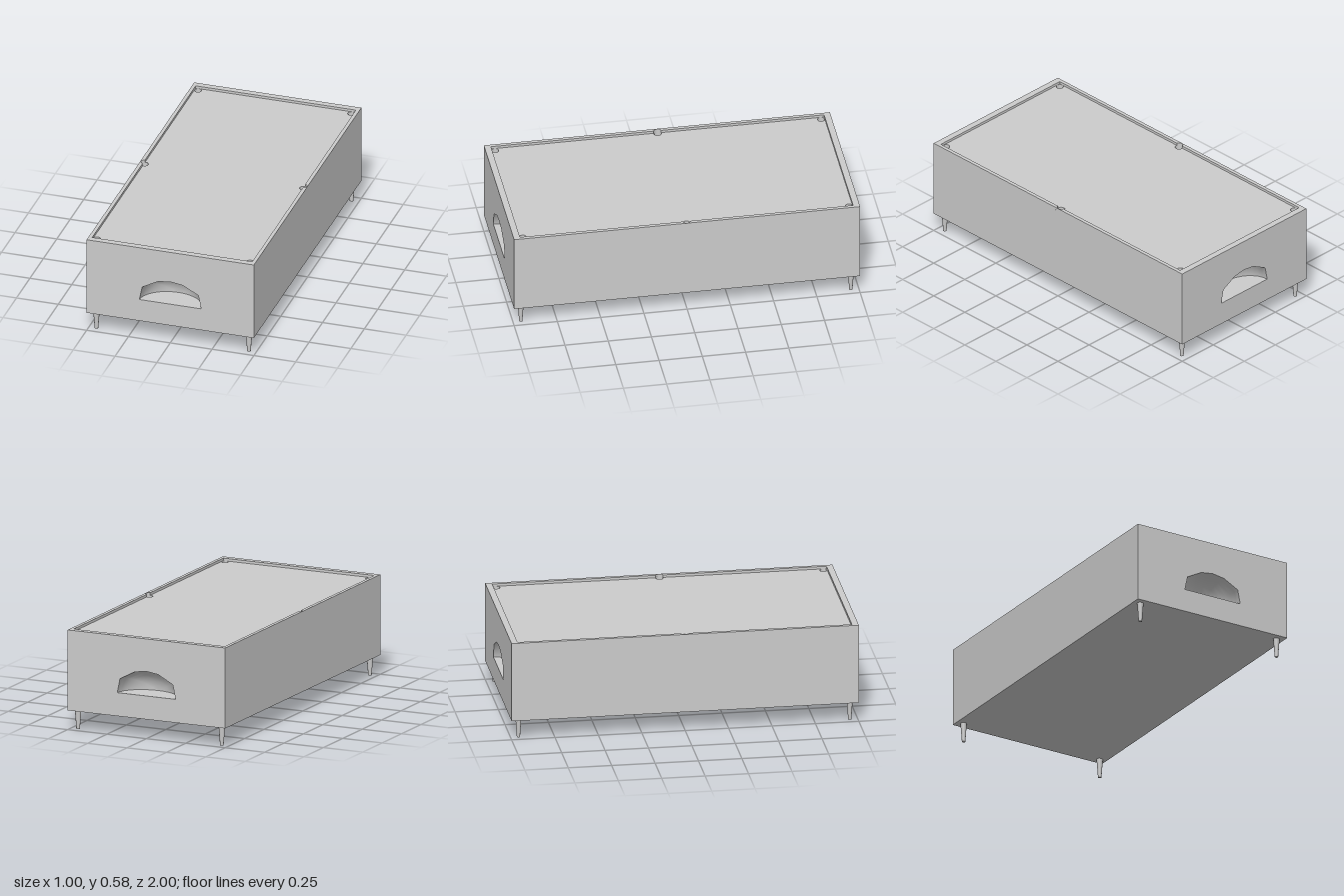
import * as THREE from 'three';

const HALF_W = 0.5, BOTTOM = 0.113, TOP = 0.584, BED = 0.569;
const IN_X = 0.479, IN_Z = 0.963;                       // inner edge of the rim
const MID_X = 0.475, POCKET_R = 0.022, CORNER_X = 0.458, CORNER_Z = 0.942;

const grey = new THREE.MeshStandardMaterial({ color: 0xcccccc });
const greyDouble = new THREE.MeshStandardMaterial({ color: 0xcccccc, side: THREE.DoubleSide });

function add(parent, name, geometry, material = grey) {
  const mesh = new THREE.Mesh(geometry, material);
  mesh.name = name;
  parent.add(mesh);
  return mesh;
}

const polygon = pts => new THREE.Shape(pts.map(([x, y]) => new THREE.Vector2(x, y)));
const extrude = (shape, depth) =>
  new THREE.ExtrudeGeometry(shape, { depth, bevelEnabled: false, curveSegments: 16 });

// Inner rectangle; the middle pockets either bulge outward (rim) or bite inward (bed)
function innerOutline(outward) {
  const a = Math.acos((IN_X - MID_X) / POCKET_R);
  const sweep = outward ? 2 * a : 2 * a - 2 * Math.PI;
  const arc = (cx, start) => Array.from({ length: 21 }, (_, i) => {
    const t = start + sweep * i / 20;
    return [cx + POCKET_R * Math.cos(t), POCKET_R * Math.sin(t)];
  });
  return polygon([[IN_X, -IN_Z], ...arc(MID_X, -a), [IN_X, IN_Z],
    [-IN_X, IN_Z], ...arc(-MID_X, Math.PI - a), [-IN_X, -IN_Z]]);
}

// Mouth of the ball return, relative to the middle of its lower edge
const MOUTH = [[0.185, 0], [0.168, 0.083], [0.075, 0.133], [0, 0.144],
  [-0.075, 0.133], [-0.168, 0.083], [-0.185, 0]];
const MOUTH_Y = 0.25, MOUTH_DEPTH = 0.15;

// Hollow half dome running inward from the mouth
function domeGeometry() {
  const rings = 8, n = MOUTH.length, pos = [], index = [];
  for (let r = 0; r <= rings; r++) {
    const t = r / rings * Math.PI / 2;
    for (const [x, y] of MOUTH) pos.push(x * Math.cos(t), y * Math.cos(t), -MOUTH_DEPTH * Math.sin(t));
  }
  for (let r = 0; r < rings; r++) for (let i = 0; i < n - 1; i++) {
    const a = r * n + i, b = a + n;
    index.push(a, a + 1, b);
    if (r < rings - 1) index.push(a + 1, b + 1, b);
  }
  const g = new THREE.BufferGeometry();
  g.setAttribute('position', new THREE.Float32BufferAttribute(pos, 3));
  g.setIndex(index);
  g.computeVertexNormals();
  return g;
}

// End wall with its recessed ball return
function endWall() {
  const group = new THREE.Group();
  group.name = 'endWall';
  const wall = polygon([[-HALF_W, BOTTOM], [HALF_W, BOTTOM], [HALF_W, BED], [-HALF_W, BED]]);
  wall.holes.push(new THREE.Path(MOUTH.map(([x, y]) => new THREE.Vector2(x, y + MOUTH_Y))));
  add(group, 'endPanel', extrude(wall, 0.01)).position.z = 0.99;
  add(group, 'ballReturnDome', domeGeometry(), greyDouble).position.set(0, MOUTH_Y, 1);
  const floor = new THREE.Shape().absellipse(0, 0, 0.185, MOUTH_DEPTH, 0, Math.PI, false);
  add(group, 'ballReturnFloor', new THREE.ShapeGeometry(floor, 16).rotateX(-Math.PI / 2), greyDouble)
    .position.set(0, MOUTH_Y, 1);
  return group;
}

// Open cup below the bed
function pocket(x, z, r) {
  const group = new THREE.Group(), depth = 0.03;
  group.name = 'pocket';
  add(group, 'pocketWall', new THREE.CylinderGeometry(r, r, depth, 20, 1, true), greyDouble);
  add(group, 'pocketBottom', new THREE.CircleGeometry(r, 20).rotateX(-Math.PI / 2)).position.y = -depth / 2;
  group.position.set(x, BED - depth / 2, z);
  return group;
}

export function createModel() {
  const model = new THREE.Group();
  model.name = 'poolTable';

  // Long sides and underside in one channel
  const w = HALF_W - 0.002, b = BOTTOM + 0.002;
  const channel = polygon([[-HALF_W, BOTTOM], [HALF_W, BOTTOM], [HALF_W, BED], [w, BED],
    [w, b], [-w, b], [-w, BED], [-HALF_W, BED]]);
  add(model, 'sidesAndUnderside', extrude(channel, 1.98)).position.z = -0.99;

  // Matching ends
  for (const turn of [0, Math.PI]) {
    const end = endWall();
    end.rotation.y = turn;
    model.add(end);
  }

  // Raised rim around the bed
  const rim = polygon([[-HALF_W, -1], [HALF_W, -1], [HALF_W, 1], [-HALF_W, 1]]);
  rim.holes.push(innerOutline(true));
  add(model, 'rim', extrude(rim, TOP - BED).rotateX(-Math.PI / 2)).position.y = BED;

  // Sunken playing bed with corner holes
  const bed = innerOutline(false), cornerR = 0.0205;
  for (const sx of [-1, 1]) {
    model.add(pocket(sx * MID_X, 0, POCKET_R));
    for (const sz of [-1, 1]) {
      bed.holes.push(new THREE.Path().absarc(sx * CORNER_X, sz * CORNER_Z, cornerR, 0, Math.PI * 2, true));
      model.add(pocket(sx * CORNER_X, sz * CORNER_Z, cornerR));

      // Tapered leg
      const leg = add(model, 'leg', new THREE.CylinderGeometry(0.019, 0.0105, BOTTOM, 10));
      leg.scale.z = 0.9;
      leg.position.set(sx * 0.456, BOTTOM / 2, sz * 0.954);
    }
  }
  add(model, 'playingBed', new THREE.ShapeGeometry(bed, 16).rotateX(-Math.PI / 2)).position.y = BED;

  return model;
}
